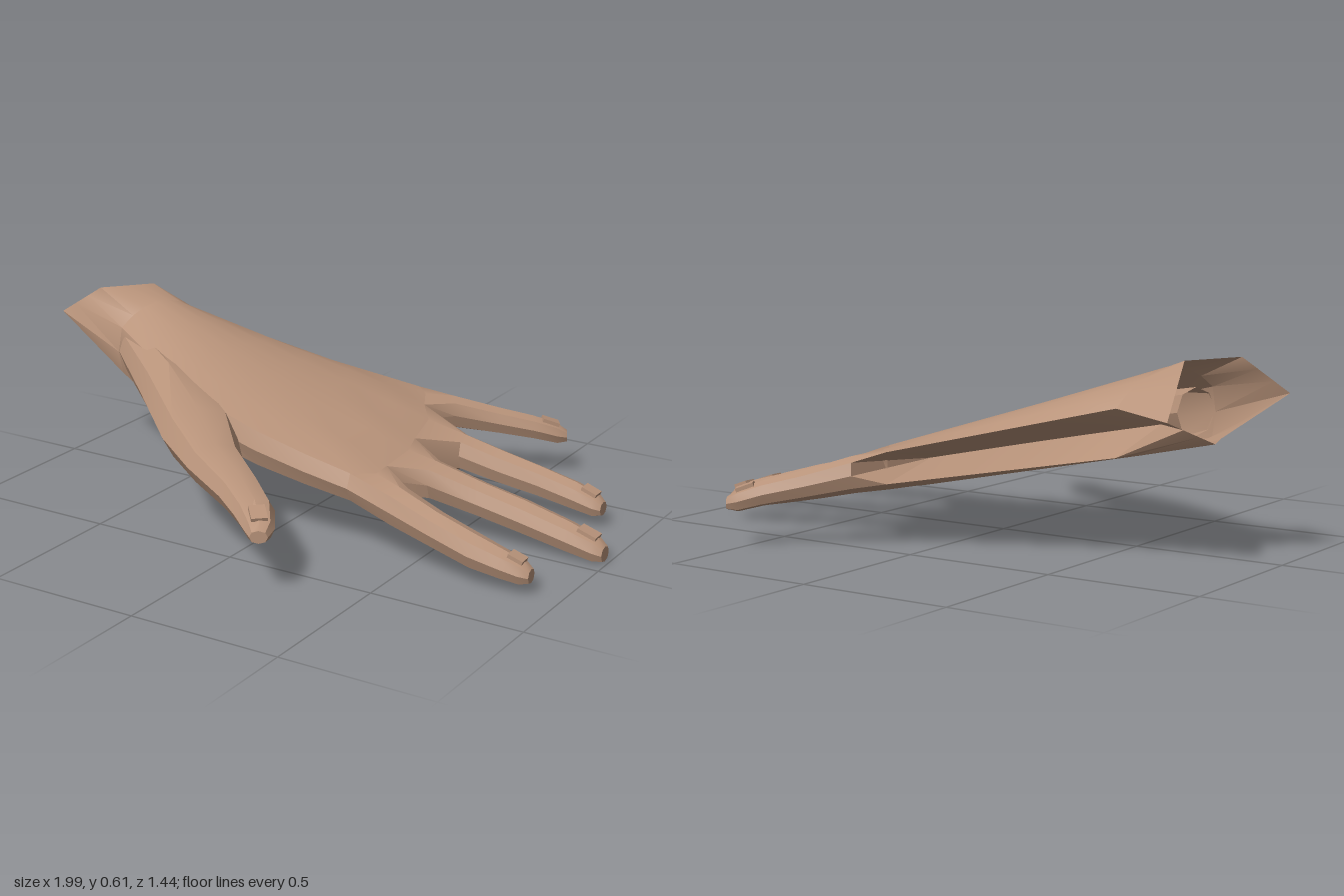
import * as THREE from 'three';
import { toCreasedNormals } from 'three/addons/utils/BufferGeometryUtils.js';

const V = (x, y, z) => new THREE.Vector3(x, y, z);
const lerp = THREE.MathUtils.lerp;
const skin = new THREE.MeshStandardMaterial({ color: 0xb8937a, side: THREE.DoubleSide });

// Skin over a list of closed rings, optionally closing the last one
function loft(name, rings, cap) {
  const n = rings[0].length, pos = [], index = [];
  rings.forEach(r => r.forEach(p => pos.push(p.x, p.y, p.z)));
  for (let i = 0; i < rings.length - 1; i++) {
    for (let k = 0; k < n; k++) {
      const a = i * n + k, b = i * n + (k + 1) % n;
      index.push(a, b, b + n, a, b + n, a + n);
    }
  }
  if (cap) {
    const last = rings[rings.length - 1], c = V(0, 0, 0);
    last.forEach(p => c.addScaledVector(p, 1 / n));
    pos.push(c.x, c.y, c.z);
    const base = (rings.length - 1) * n;
    for (let k = 0; k < n; k++) index.push(rings.length * n, base + k, base + (k + 1) % n);
  }
  const g = new THREE.BufferGeometry();
  g.setAttribute('position', new THREE.Float32BufferAttribute(pos, 3));
  g.setIndex(index);
  const mesh = new THREE.Mesh(toCreasedNormals(g, 0.6), skin);
  mesh.name = name;
  return mesh;
}

// Eight-sided finger section: top, side and bottom points
const SECTION = [[-0.36, 0.36], [0, 0.5], [0.36, 0.36], [0.5, 0], [0.36, -0.38], [0, -0.5], [-0.36, -0.38], [-0.5, 0]];

// stations: [x, y, z, width, thickness] along the finger
function fingerRings(stations) {
  return stations.map(([x, y, z, w, t], i) => {
    const p = stations[Math.max(i - 1, 0)], q = stations[Math.min(i + 1, stations.length - 1)];
    const dx = q[0] - p[0], dz = q[2] - p[2], len = Math.hypot(dx, dz);
    return SECTION.map(([u, v]) => V(x - dz / len * u * w, y + v * t, z + dx / len * u * w));
  });
}

// Thin plate lying on the top of the last finger segment
function nail(name, stations) {
  const [a, b] = stations.slice(-3, -1);
  const top = s => V(s[0], s[1] + s[4] * 0.5, s[2]);
  const from = top(a).lerp(top(b), 0.45), to = top(b);
  const length = from.distanceTo(to) + 0.012;
  const mesh = new THREE.Mesh(new THREE.BoxGeometry(b[3] * 0.55, 0.012, length), skin);
  mesh.position.copy(from).lerp(to, 0.5);
  mesh.lookAt(to);
  mesh.name = name;
  return mesh;
}

// Palm columns run from the little finger side to the index side
const KNUCKLES = [[0.12, -0.46], [0.17, -0.41], [0.2, -0.35], [0.28, -0.235], [0.3, -0.11],
  [0.34, 0.0], [0.33, 0.12], [0.34, 0.2], [0.28, 0.255]];

function palmRing(t) {
  const top = [], bottom = [];
  for (let j = 0; j <= 8; j++) {
    const s = (j - 4) / 4;
    const x = lerp(lerp(-0.57, -0.72, j / 8), KNUCKLES[j][0], t);
    const z = lerp(lerp(-0.245, 0.07, j / 8), KNUCKLES[j][1], t)
      + 0.1 * Math.sin(Math.PI * t) * (j / 8) ** 3;
    const mid = 0.29 - 0.26 * x - 0.04 * s * s * (1 - t);
    let h = (0.09 - 0.058 * x) * (1 - 0.4 * s * s);
    if (t === 1 && j % 2 === 0 && j > 0 && j < 8) h *= 0.75; // dip at the webs
    top.push(V(x, mid + h, z));
    bottom.push(V(x, mid - h, z));
  }
  const side = (j, dz) => top[j].clone().lerp(bottom[j], 0.5).add(V(0, 0, dz));
  return [...top, side(8, 0.02), ...bottom.reverse(), side(0, -0.02)];
}

// Ragged six-cornered wrist opening, sampled to match the palm columns
function wristRing() {
  const A = V(-1, 0.52, 0.03), B = V(-0.85, 0.62, 0.01), C = V(-0.74, 0.615, -0.14);
  const D = V(-0.77, 0.45, -0.29), E = V(-0.89, 0.39, -0.22), F = V(-0.82, 0.38, -0.06);
  const along = (p, q, r, s, k) => k <= 3 ? p.clone().lerp(q, k / 3)
    : k <= 7 ? q.clone().lerp(r, (k - 3) / 4) : r.clone().lerp(s, (k - 7) / 3);
  const ring = [];
  for (let k = 1; k <= 10; k++) ring.push(along(D, C, B, A, k));
  for (let k = 9; k >= 0; k--) ring.push(along(D, E, F, A, k));
  return ring;
}

const FINGERS = {
  littleFinger: [[0.235, 0.235, -0.485, 0.1, 0.11], [0.36, 0.2, -0.575, 0.09, 0.09],
    [0.46, 0.175, -0.64, 0.085, 0.08], [0.525, 0.152, -0.685, 0.075, 0.07], [0.555, 0.143, -0.702, 0.045, 0.04]],
  ringFinger: [[0.39, 0.188, -0.275, 0.1, 0.12], [0.52, 0.155, -0.295, 0.1, 0.11], [0.65, 0.125, -0.315, 0.09, 0.1],
    [0.77, 0.098, -0.325, 0.09, 0.09], [0.84, 0.08, -0.325, 0.077, 0.075], [0.865, 0.073, -0.325, 0.05, 0.045]],
  middleFinger: [[0.42, 0.18, -0.025, 0.125, 0.125], [0.58, 0.14, -0.045, 0.11, 0.11], [0.72, 0.11, -0.055, 0.11, 0.105],
    [0.87, 0.073, -0.065, 0.1, 0.095], [0.96, 0.05, -0.067, 0.085, 0.08], [0.99, 0.04, -0.067, 0.055, 0.05]],
  indexFinger: [[0.44, 0.18, 0.232, 0.12, 0.125], [0.58, 0.145, 0.253, 0.11, 0.11], [0.72, 0.11, 0.265, 0.11, 0.105],
    [0.81, 0.09, 0.264, 0.095, 0.09], [0.875, 0.075, 0.26, 0.08, 0.075], [0.902, 0.068, 0.258, 0.05, 0.045]],
};

const THUMB = [[-0.68, 0.44, 0.04, 0.13, 0.15], [-0.45, 0.385, 0.18, 0.2, 0.17], [-0.22, 0.32, 0.34, 0.24, 0.17],
  [-0.08, 0.285, 0.455, 0.18, 0.13], [0.07, 0.25, 0.54, 0.14, 0.11], [0.16, 0.225, 0.6, 0.125, 0.09],
  [0.22, 0.207, 0.665, 0.09, 0.07], [0.24, 0.2, 0.7, 0.055, 0.04]];

export function createModel() {
  const hand = new THREE.Group();
  hand.name = 'hand';

  // Wrist and palm
  const rows = [0, 0.17, 0.34, 0.51, 0.68, 0.85, 1].map(palmRing);
  hand.add(loft('wrist', [wristRing(), rows[0]], false));
  hand.add(loft('palm', rows, false));

  // Fingers grow out of neighbouring column pairs of the last palm ring
  const end = rows[rows.length - 1];
  const top = j => end[j], bottom = j => end[18 - j];
  const side = j => j === 0 ? end[19] : j === 8 ? end[9] : top(j).clone().lerp(bottom(j), 0.5);
  Object.entries(FINGERS).forEach(([name, stations], f) => {
    const a = 2 * f, b = a + 2;
    const base = [top(a), top(a + 1), top(b), side(b), bottom(b), bottom(a + 1), bottom(a), side(a)];
    hand.add(loft(name, [base, ...fingerRings(stations)], true));
    hand.add(nail(name + 'Nail', stations));
  });

  // Thumb, rooted inside the palm
  hand.add(loft('thumb', fingerRings(THUMB), true));
  hand.add(nail('thumbNail', THUMB));
  return hand;
}
